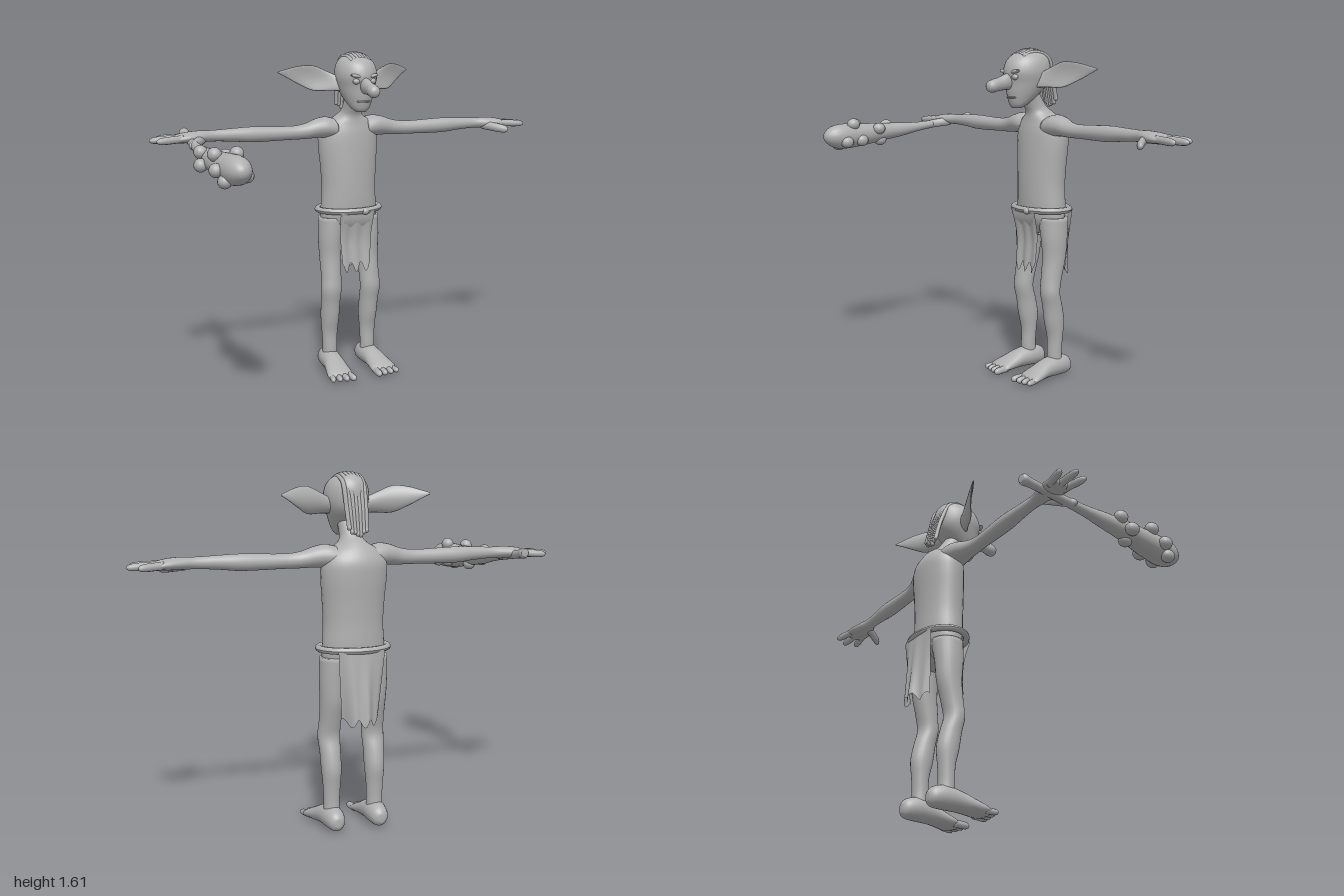
import * as THREE from 'three';

const grey = new THREE.MeshStandardMaterial({ color: 0xb0b0b0, side: THREE.DoubleSide });
grey.name = 'clay grey';

// Ring directions for each sweep axis
const FRAMES = {
  x: [[0, 1, 0], [0, 0, 1]],
  y: [[1, 0, 0], [0, 0, -1]],
  z: [[1, 0, 0], [0, 1, 0]],
};

const spline = (p, q, r, s, t) =>
  0.5 * (2 * q + (r - p) * t + (2 * p - 5 * q + 4 * r - s) * t * t + (3 * q - p - 3 * r + s) * t * t * t);

// Smooth closed body through elliptical rings [x, y, z, radiusU, radiusV]
function loft(rings, axis, seg = 20, sub = 4) {
  const [u, v] = FRAMES[axis];
  const n = rings.length, at = (i) => rings[Math.max(0, Math.min(n - 1, i))];
  const fine = [];
  for (let i = 0; i < n - 1; i++) for (let k = 0; k < sub; k++)
    fine.push(at(i).map((_, c) => spline(at(i - 1)[c], at(i)[c], at(i + 1)[c], at(i + 2)[c], k / sub)));
  fine.push(at(n - 1));
  const pos = [], idx = [];
  const k = 'xyz'.indexOf(axis), flip = at(n - 1)[k] < at(0)[k];
  const tri = (a, b, c) => (flip ? idx.push(a, c, b) : idx.push(a, b, c));
  for (const r of fine) for (let j = 0; j < seg; j++) {
    const t = (j / seg) * Math.PI * 2;
    for (let c = 0; c < 3; c++) pos.push(r[c] + r[3] * Math.cos(t) * u[c] + r[4] * Math.sin(t) * v[c]);
  }
  const last = (fine.length - 1) * seg, pole = fine.length * seg;
  pos.push(...fine[0].slice(0, 3), ...at(n - 1).slice(0, 3));
  for (let j = 0; j < seg; j++) {
    const m = (j + 1) % seg;
    for (let i = 0; i < last; i += seg) {
      tri(i + j, i + m, i + seg + j);
      tri(i + m, i + seg + m, i + seg + j);
    }
    tri(pole, m, j);
    tri(pole + 1, last + j, last + m);
  }
  const g = new THREE.BufferGeometry();
  g.setAttribute('position', new THREE.Float32BufferAttribute(pos, 3));
  g.setIndex(idx);
  g.computeVertexNormals();
  return g;
}

// Moves every vertex by a rule
function bend(g, rule) {
  const p = g.attributes.position;
  for (let i = 0; i < p.count; i++) p.setXYZ(i, ...rule(p.getX(i), p.getY(i), p.getZ(i)));
  g.computeVertexNormals();
  return g;
}

// Rounded finger or toe between two points
function digit(a, b, r, axis) {
  const ring = (t, f) => [...a.map((c, i) => c + (b[i] - c) * t), r * f, r * f];
  return loft([ring(0, 1), ring(0.35, 0.95), ring(0.65, 0.95), ring(0.9, 0.75), ring(1, 0.25)], axis, 10, 3);
}

export function createModel() {
  const group = new THREE.Group();
  const add = (name, g) => {
    const m = new THREE.Mesh(g, grey);
    m.name = name;
    group.add(m);
    return m;
  };
  const ball = (name, p, s) => {
    const m = add(name, new THREE.SphereGeometry(1, 16, 12));
    m.position.set(...p);
    m.scale.set(...s);
    return m;
  };

  // Torso with neck, head and nose
  add('torso', loft([
    [0, 0.72, -0.31, 0.09, 0.05], [0, 0.78, -0.31, 0.143, 0.085], [0, 0.85, -0.31, 0.145, 0.097],
    [0, 0.95, -0.308, 0.14, 0.099], [0, 1.05, -0.31, 0.145, 0.101], [0, 1.15, -0.315, 0.153, 0.103],
    [0, 1.22, -0.317, 0.15, 0.1], [0, 1.27, -0.31, 0.118, 0.085], [0, 1.305, -0.295, 0.065, 0.07],
    [0, 1.34, -0.265, 0.047, 0.056], [0, 1.41, -0.225, 0.047, 0.05]], 'y', 32));
  add('head', loft([
    [0, 1.33, -0.155, 0.022, 0.02], [0, 1.35, -0.167, 0.046, 0.045], [0, 1.4, -0.195, 0.072, 0.085],
    [0, 1.45, -0.215, 0.09, 0.11], [0, 1.5, -0.215, 0.1, 0.12], [0, 1.55, -0.22, 0.092, 0.11],
    [0, 1.585, -0.228, 0.067, 0.08], [0, 1.603, -0.235, 0.028, 0.035]], 'y', 32));
  add('nose', loft([
    [0, 1.46, -0.13, 0.022, 0.04], [0, 1.455, -0.09, 0.026, 0.038], [0, 1.445, -0.05, 0.025, 0.032],
    [0, 1.437, -0.015, 0.03, 0.031], [0, 1.435, 0.008, 0.024, 0.024], [0, 1.435, 0.018, 0.008, 0.008]], 'z', 16));
  ball('mouth', [0, 1.382, -0.124], [0.035, 0.007, 0.014]);

  // Strands of hair running over the crown and down the back
  for (let i = -3; i <= 3; i++) {
    const x = i * 0.015, drop = i * i * 0.0012, wave = (i % 2) * 0.006;
    const path = new THREE.CatmullRomCurve3([
      [x, 1.585 - drop, -0.165], [x, 1.602 - drop, -0.21], [x * 1.1, 1.6 - drop, -0.26], [x * 1.1, 1.565, -0.302 - wave],
      [x, 1.46, -0.34], [x * 0.9, 1.345 + drop * 2 + wave, -0.362]].map((p) => new THREE.Vector3(...p)));
    add('hairStrand', new THREE.TubeGeometry(path, 20, 0.0105, 7));
    ball('hairTip', path.getPoint(1).toArray(), [0.0105, 0.012, 0.0105]);
    ball('hairRoot', path.getPoint(0).toArray(), [0.0105, 0.0105, 0.0105]);
  }

  for (const s of [1, -1]) {
    const side = s > 0 ? 'left' : 'right';
    const mir = (rows) => rows.map(([x, ...rest]) => [s * x, ...rest]);

    // Face details and long dished ear
    ball(side + 'Eye', [s * 0.042, 1.478, -0.113], [0.018, 0.014, 0.014]);
    ball(side + 'Brow', [s * 0.042, 1.503, -0.113], [0.03, 0.009, 0.016]).rotation.z = s * 0.2;
    add(side + 'Ear', bend(loft(mir([
      [0.08, 1.462, -0.235, 0.034, 0.02], [0.13, 1.475, -0.255, 0.045, 0.015], [0.2, 1.49, -0.287, 0.06, 0.013],
      [0.26, 1.504, -0.317, 0.043, 0.01], [0.31, 1.512, -0.342, 0.02, 0.007], [0.345, 1.516, -0.36, 0.004, 0.004]]), 'x'),
    (x, y, z) => [x, y, z + 5 * (y - 1.49) ** 2]));

    // Arm and palm in one sweep, then fingers and thumb
    add(side + 'Arm', loft(mir([
      [0.08, 1.24, -0.305, 0.05, 0.07], [0.13, 1.248, -0.3, 0.052, 0.066], [0.18, 1.245, -0.295, 0.046, 0.054],
      [0.24, 1.234, -0.29, 0.037, 0.04], [0.32, 1.23, -0.288, 0.033, 0.033], [0.5, 1.232, -0.288, 0.037, 0.037],
      [0.6, 1.235, -0.286, 0.031, 0.031], [0.7, 1.236, -0.284, 0.026, 0.028], [0.76, 1.236, -0.28, 0.027, 0.044],
      [0.82, 1.234, -0.28, 0.025, 0.058], [0.87, 1.23, -0.283, 0.019, 0.055], [0.89, 1.23, -0.283, 0.01, 0.04]]), 'x', 24));
    for (const [z0, z1, x1] of [[-0.318, -0.345, 0.955], [-0.283, -0.287, 0.995], [-0.248, -0.228, 0.975]])
      add(side + 'Finger', digit([s * 0.845, 1.232, z0], [s * x1, 1.226, z1], 0.018, 'x'));
    add(side + 'Thumb', digit([s * 0.755, 1.225, -0.265], [s * 0.835, 1.205, -0.16], 0.023, 'z'));

    // Leg, foot and toes
    add(side + 'Leg', loft(mir([
      [0.085, 0.8, -0.315, 0.073, 0.075], [0.1, 0.7, -0.312, 0.06, 0.068], [0.102, 0.6, -0.31, 0.054, 0.06],
      [0.104, 0.5, -0.293, 0.051, 0.051], [0.107, 0.43, -0.284, 0.052, 0.047], [0.106, 0.36, -0.3, 0.048, 0.05],
      [0.105, 0.28, -0.313, 0.046, 0.052], [0.105, 0.2, -0.318, 0.04, 0.039], [0.105, 0.12, -0.316, 0.037, 0.037],
      [0.105, 0.05, -0.32, 0.038, 0.04]]), 'y', 24));
    add(side + 'Foot', bend(loft(mir([
      [0.105, 0.05, -0.41, 0.015, 0.02], [0.105, 0.052, -0.39, 0.038, 0.043], [0.106, 0.058, -0.335, 0.05, 0.053],
      [0.11, 0.052, -0.26, 0.052, 0.047], [0.116, 0.037, -0.2, 0.06, 0.036], [0.12, 0.024, -0.15, 0.066, 0.025],
      [0.12, 0.018, -0.125, 0.055, 0.013]]), 'z', 24), (x, y, z) => [x, Math.max(y, 0), z]));
    for (let i = 0; i < 4; i++)
      add(side + 'Toe', digit([s * (0.075 + i * 0.03), 0.02, -0.155],
        [s * (0.07 + i * 0.035), 0.016, -0.078 - i * 0.006], 0.018 - i * 0.001, 'z'));
  }

  // Rope belt with a knot
  const belt = add('belt', bend(new THREE.TorusGeometry(1, 0.1, 10, 48).rotateX(Math.PI / 2), (x, y, z) => {
    const a = Math.atan2(z, x), r = (Math.hypot(x, z) - 1) * 0.15;
    return [Math.cos(a) * (0.16 + r), y * 0.15, Math.sin(a) * (0.117 + r)];
  }));
  belt.position.set(0, 0.838, -0.31);
  ball('beltKnot', [0.038, 0.835, -0.19], [0.02, 0.017, 0.016]);

  // Hanging cloths with soft pleats and ragged hems; t runs from belt to hem
  add('frontCloth', bend(new THREE.PlaneGeometry(2, 1, 20, 12), (x, y) => {
    const t = 0.5 - y, sag = Math.sin(Math.min(t * 1.5, 1) * Math.PI / 2);
    return [x * (0.092 - 0.017 * t), 0.835 - t * (0.285 + 0.025 * Math.cos(x * 9)),
      -0.192 - 0.042 * sag + 0.02 * t + 0.006 * t * Math.cos(x * 8)];
  }));
  add('backCloth', bend(new THREE.PlaneGeometry(2, 1, 24, 12), (x, y) => {
    const t = 0.5 - y;
    return [x * (0.11 - 0.025 * t), 0.835 - t * (0.32 + 0.018 * Math.cos(x * 10)),
      -0.43 - 0.032 * t + x * x * (0.012 + 0.055 * t) + 0.008 * t * Math.sin(x * 9)];
  }));
  add('underCloth', bend(new THREE.PlaneGeometry(2, 2, 6, 16), (x, y) => {
    const a = y * Math.PI / 2;
    return [x * (0.045 + 0.035 * Math.abs(y)), 0.83 - 0.13 * Math.cos(a), -0.31 + 0.115 * Math.sin(a)];
  }));

  // Knobbly club in the right hand
  add('club', loft([
    [-0.797, 1.243, -0.43, 0.018, 0.018], [-0.799, 1.24, -0.415, 0.025, 0.025], [-0.802, 1.235, -0.385, 0.021, 0.021],
    [-0.808, 1.222, -0.29, 0.02, 0.02], [-0.817, 1.2, -0.12, 0.023, 0.023], [-0.822, 1.187, 0, 0.034, 0.036],
    [-0.82, 1.178, 0.13, 0.046, 0.047], [-0.81, 1.17, 0.25, 0.058, 0.058], [-0.8, 1.167, 0.36, 0.063, 0.064],
    [-0.797, 1.168, 0.42, 0.052, 0.053], [-0.797, 1.168, 0.455, 0.028, 0.028], [-0.797, 1.168, 0.465, 0.008, 0.008]], 'z', 20));
  for (const [x, y, z] of [
    [-0.86, 1.21, 0.07], [-0.875, 1.16, 0.12], [-0.81, 1.14, 0.135], [-0.775, 1.2, 0.16], [-0.855, 1.222, 0.26],
    [-0.76, 1.145, 0.27], [-0.775, 1.228, 0.31], [-0.87, 1.165, 0.325], [-0.75, 1.14, 0.36], [-0.845, 1.122, 0.36]])
    ball('clubKnob', [x, y, z], [0.03, 0.03, 0.034]);

  return group;
}
